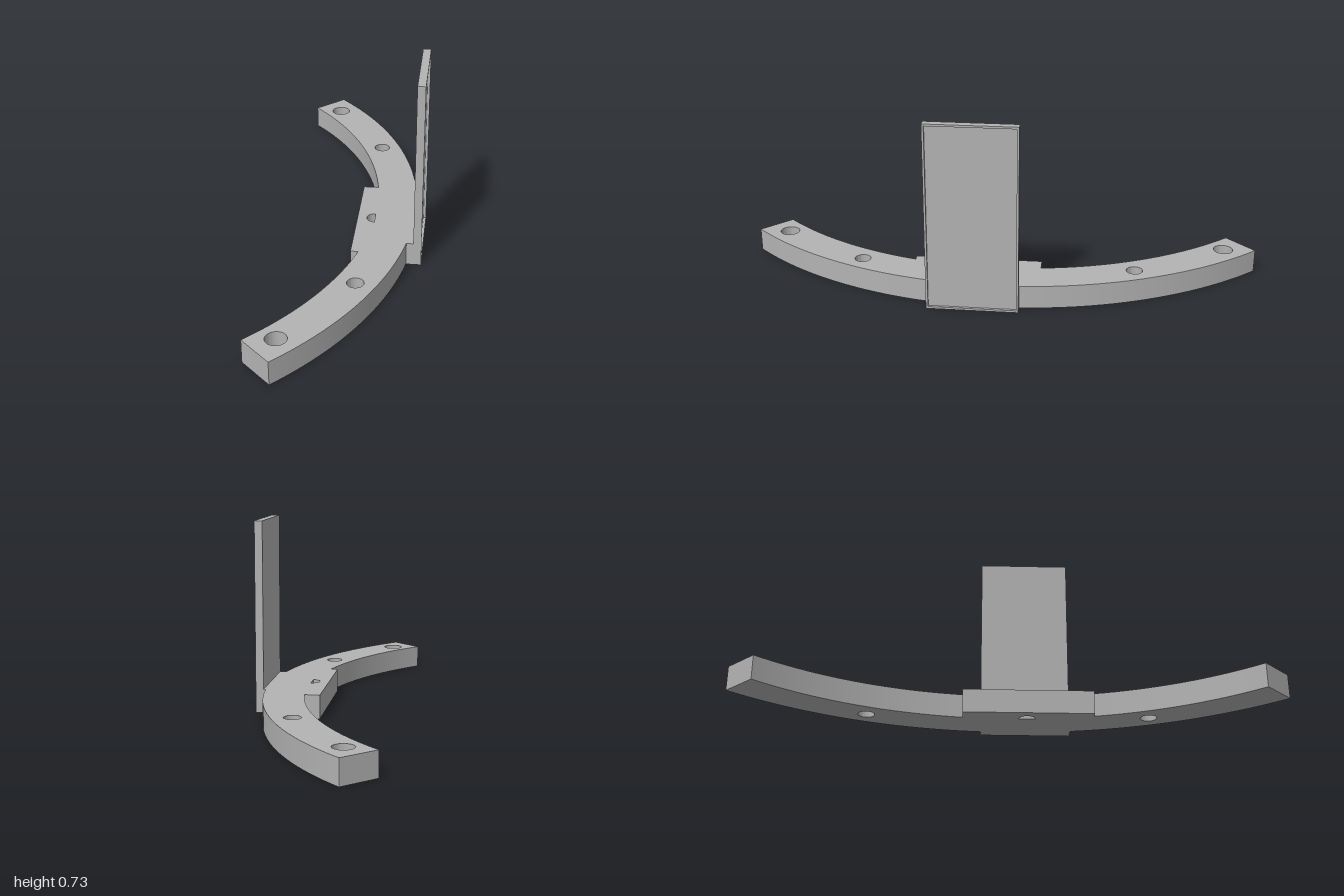
import * as THREE from 'three';
import { toCreasedNormals } from 'three/addons/utils/BufferGeometryUtils.js';

const H = 0.09;                       // thickness of the curved base
const CX = -1.202, R_OUT = 1.44, R_IN = 1.288;
const PLATE = { x0: 0.243, x1: 0.273, z0: -0.1, z1: 0.245, h: 0.727 };

const circle = (x, y, r) => new THREE.Path().absarc(x, y, r, 0, Math.PI * 2, true);

// Plan outline of the base; shape y is -z
function baseShape() {
  const end = Math.asin(1 / R_OUT);
  const out = (s) => Math.asin(s / R_OUT);
  const inn = (s) => Math.asin(s / R_IN);
  const s = new THREE.Shape();
  s.absarc(CX, 0, R_OUT, -end, out(-PLATE.z1), false);
  s.lineTo(PLATE.x0, -PLATE.z1);      // pad that carries the plate
  s.lineTo(PLATE.x0, -PLATE.z0);
  s.absarc(CX, 0, R_OUT, out(-PLATE.z0), end, false);
  s.absarc(CX, 0, R_IN, end, inn(0.17), true);
  s.lineTo(0.017, 0.17);              // inner tab
  s.lineTo(0.017, -0.32);
  s.absarc(CX, 0, R_IN, inn(-0.32), -end, true);
  s.closePath();

  // through holes, blind end holes and the half-round hole in the tab
  for (const side of [-1, 1]) {
    s.holes.push(circle(0.058, side * 0.525, 0.031));
    s.holes.push(circle(-0.163, side * 0.875, 0.038));
  }
  const half = new THREE.Path();
  half.absarc(0.084, -0.072, 0.031, Math.PI / 2, Math.PI * 1.5, false);
  half.closePath();
  s.holes.push(half);
  return s;
}

export function createModel() {
  const group = new THREE.Group();
  const grey = new THREE.MeshStandardMaterial({ color: 0xb3b3b3 });
  grey.name = 'plain grey';
  const add = (name, geometry, x = 0, y = 0, z = 0) => {
    const mesh = new THREE.Mesh(geometry, grey);
    mesh.name = name;
    mesh.position.set(x, y, z);
    group.add(mesh);
    return mesh;
  };

  // Curved base
  const base = new THREE.ExtrudeGeometry(baseShape(), { depth: H, bevelEnabled: false, curveSegments: 28 });
  base.rotateX(-Math.PI / 2);
  add('curvedBase', toCreasedNormals(base, 0.5));

  // Floors closing the blind end holes
  for (const z of [-0.875, 0.875]) {
    add('blindHoleFloor', new THREE.CylinderGeometry(0.038, 0.038, 0.03, 56), -0.163, 0.015, z);
  }

  // Upright plate: back panel with a thin raised rim on the outer face
  const { x0, x1, z0, z1, h } = PLATE;
  const width = z1 - z0, zMid = (z0 + z1) / 2, rimDepth = 0.01, rim = 0.008;
  const panel = x1 - x0 - rimDepth;
  add('uprightPanel', new THREE.BoxGeometry(panel, h, width), x0 + panel / 2, h / 2, zMid);

  const rect = (target, w, y0, y1) => target.setFromPoints([
    new THREE.Vector2(-w, y0), new THREE.Vector2(w, y0),
    new THREE.Vector2(w, y1), new THREE.Vector2(-w, y1), new THREE.Vector2(-w, y0)]);
  const frame = rect(new THREE.Shape(), width / 2, 0, h);
  frame.holes.push(rect(new THREE.Path(), width / 2 - rim, rim, h - rim));
  const frameGeo = new THREE.ExtrudeGeometry(frame, { depth: rimDepth, bevelEnabled: false });
  frameGeo.rotateY(Math.PI / 2);
  add('uprightRim', frameGeo, x1 - rimDepth, 0, zMid);

  return group;
}
